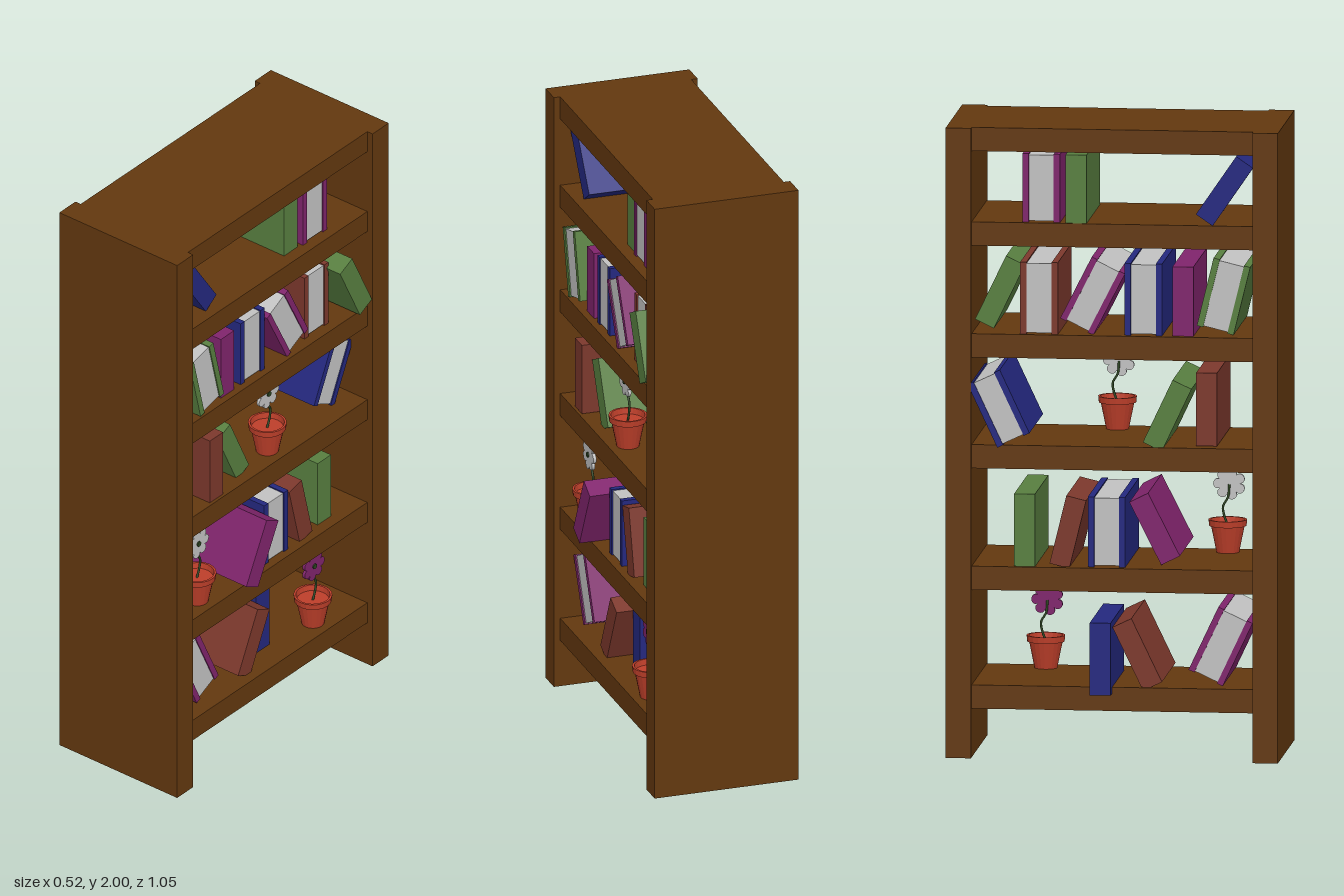
import * as THREE from 'three';

const mat = (name, color) => {
  const m = new THREE.MeshStandardMaterial({ color });
  m.name = name;
  return m;
};

export function createModel() {
  const wood = mat('wood', 0x63380f);
  const paper = mat('paper', 0xc2c2c2);
  const blue = mat('blue', 0x24287f);
  const green = mat('green', 0x587f40);
  const purple = mat('purple', 0x80246c);
  const red = mat('brownRed', 0x7c382c);
  const clay = mat('clay', 0xbe3f2a);
  clay.side = THREE.DoubleSide;
  const stemGreen = mat('stemGreen', 0x2c4420);

  const model = new THREE.Group();
  model.name = 'bookcase';

  const box = (parent, name, m, w, h, d, x, y, z) => {
    const mesh = new THREE.Mesh(new THREE.BoxGeometry(w, h, d), m);
    mesh.name = name;
    mesh.position.set(x, y, z);
    parent.add(mesh);
    return mesh;
  };

  // Side panels and open-backed shelves
  for (const s of [1, -1]) box(model, 'sidePanel', wood, 0.477, 2, 0.08, 0.001, 1, s * 0.484);
  const floors = [2, 1.7, 1.345, 0.993, 0.607, 0.23];
  for (const top of floors) box(model, 'shelf', wood, 0.435, 0.075, 0.892, 0.001, top - 0.0375, 0);

  // Books: solid ones are one block, open-edged ones are two covers around pages
  const DEPTH = 0.39;
  const book = (m, pages, x, y, z, w, h, lean = 0) => {
    const g = new THREE.Group();
    g.name = 'book';
    g.position.set(x, y, z);
    g.rotation.x = lean;
    if (pages) {
      const t = 0.02;
      for (const s of [1, -1]) box(g, 'cover', m, DEPTH, h, t, 0, 0, s * (w - t) / 2);
      box(g, 'pages', paper, DEPTH - 0.008, h - 0.008, w - 2 * t, 0, 0, 0);
    } else {
      box(g, 'cover', m, DEPTH, h, w, 0, 0, 0);
    }
    model.add(g);
  };
  const books = [
    // top shelf
    [blue, false, -0.01, 1.809, 0.352, 0.064, 0.225, 0.6],
    [green, false, -0.018, 1.809, -0.115, 0.066, 0.217],
    [purple, true, -0.01, 1.809, -0.226, 0.119, 0.217],
    // second shelf
    [green, true, 0.02, 1.47, 0.346, 0.119, 0.222, 0.24],
    [purple, false, 0, 1.455, 0.22, 0.066, 0.22],
    [blue, true, 0, 1.459, 0.095, 0.119, 0.228],
    [purple, true, 0.01, 1.466, -0.066, 0.117, 0.22, 0.47],
    [red, true, -0.01, 1.459, -0.233, 0.119, 0.228],
    [green, false, 0.045, 1.468, -0.362, 0.066, 0.225, 0.45],
    // third shelf
    [red, false, 0.015, 1.111, 0.293, 0.066, 0.232],
    [green, false, -0.015, 1.094, 0.172, 0.066, 0.22, 0.44],
    [blue, true, -0.042, 1.111, -0.357, 0.112, 0.22, -0.44],
    // fourth shelf
    [purple, false, 0.063, 0.721, 0.124, 0.066, 0.222, -0.47],
    [blue, true, 0, 0.719, -0.021, 0.118, 0.222],
    [red, false, 0, 0.717, -0.143, 0.064, 0.222, 0.24],
    [green, false, -0.015, 0.723, -0.278, 0.066, 0.23],
    // bottom shelf
    [purple, true, -0.02, 0.365, 0.341, 0.119, 0.222, 0.44],
    [red, false, -0.01, 0.333, 0.077, 0.066, 0.222, -0.45],
    [blue, false, -0.065, 0.325, -0.034, 0.066, 0.23],
  ];
  books.forEach((b) => book(...b));

  // Potted flowers facing +x
  const potProfile = [
    [0, 0], [0.036, 0], [0.053, 0.084], [0.059, 0.084], [0.061, 0.104],
    [0.054, 0.104], [0.051, 0.085], [0, 0.085],
  ].map(([r, y]) => new THREE.Vector2(r, y));
  const potGeo = new THREE.LatheGeometry(potProfile, 20).toNonIndexed();
  potGeo.computeVertexNormals();

  const stemGeo = new THREE.TubeGeometry(new THREE.CatmullRomCurve3([
    new THREE.Vector3(0, 0.08, 0.002),
    new THREE.Vector3(0, 0.115, -0.011),
    new THREE.Vector3(0, 0.145, -0.015),
    new THREE.Vector3(0, 0.175, 0.001),
    new THREE.Vector3(0, 0.215, 0.005),
  ]), 16, 0.004, 6);

  const outline = [];
  for (let i = 0; i < 84; i++) {
    const a = (i / 84) * Math.PI * 2;
    const r = 0.034 + 0.017 * Math.sqrt(Math.abs(Math.cos(a * 3.5)));
    outline.push(new THREE.Vector2(r * Math.cos(a), r * Math.sin(a)));
  }
  const petalGeo = new THREE.ExtrudeGeometry(new THREE.Shape(outline), { depth: 0.01, bevelEnabled: false });
  petalGeo.rotateY(Math.PI / 2);
  const heartGeo = new THREE.CylinderGeometry(0.009, 0.009, 0.006, 12).rotateZ(-Math.PI / 2);

  const plant = (y, z, petalColor) => {
    const g = new THREE.Group();
    g.name = 'pottedFlower';
    g.position.set(0.156, y, z);
    const add = (name, geo, m, px = 0, py = 0, pz = 0) => {
      const mesh = new THREE.Mesh(geo, m);
      mesh.name = name;
      mesh.position.set(px, py, pz);
      g.add(mesh);
    };
    add('pot', potGeo, clay);
    add('stem', stemGeo, stemGreen);
    add('petals', petalGeo, petalColor, 0, 0.217, 0.005);
    add('flowerHeart', heartGeo, stemGreen, 0.011, 0.217, 0.005);
    model.add(g);
  };
  plant(0.993, -0.025, paper);
  plant(0.607, 0.323, paper);
  plant(0.23, -0.251, purple);

  return model;
}
